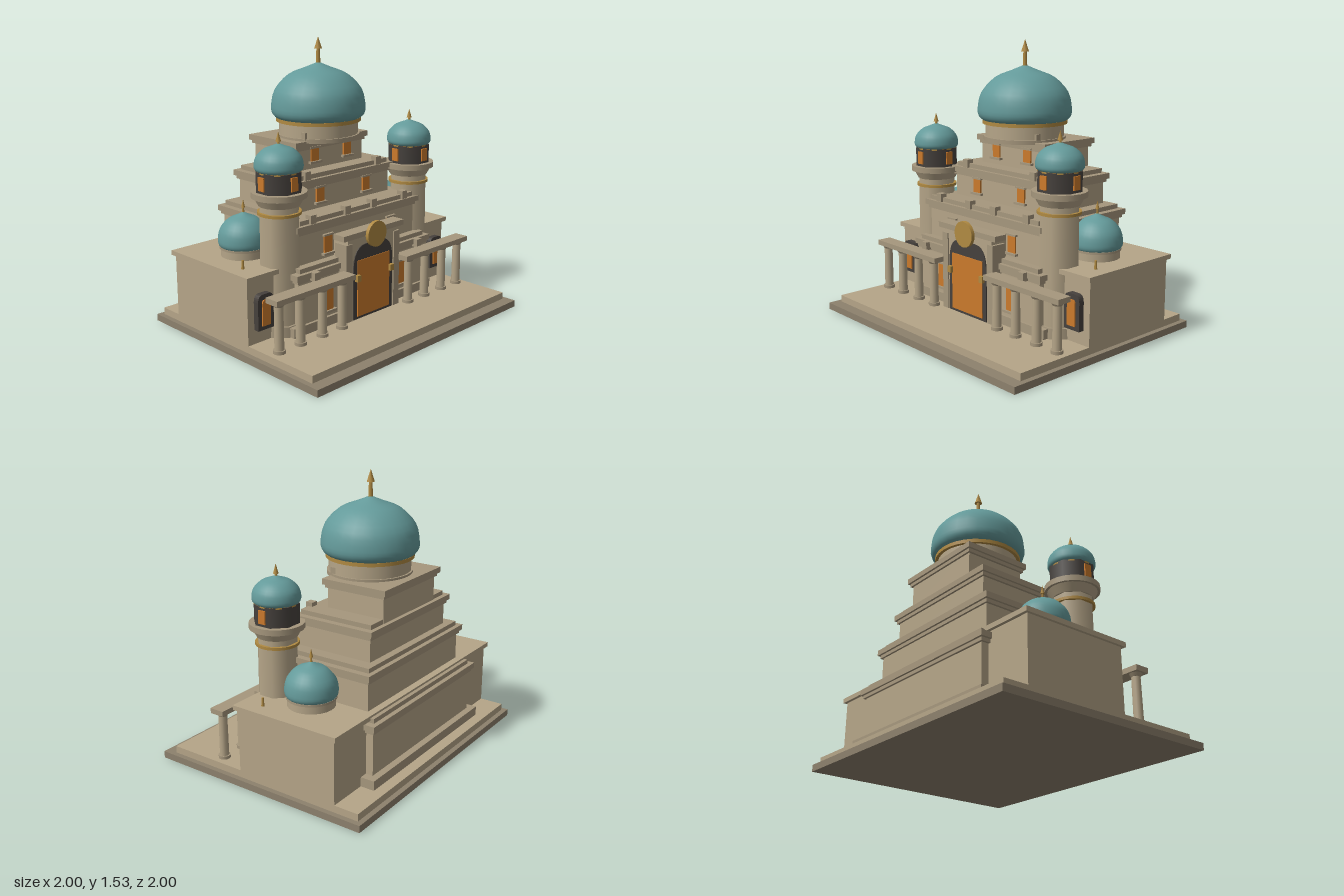
import * as THREE from 'three';

const mat = (name, color) => {
  const m = new THREE.MeshStandardMaterial({ color });
  m.name = name;
  return m;
};

export function createModel() {
  const stone = mat('sandstone', 0xb5a588);
  const trim = mat('trim stone', 0xa6977d);
  const baseStone = mat('base stone', 0x8d816d);
  const teal = mat('teal dome', 0x649a9a);
  const gold = mat('gold', 0xb08a42);
  const orange = mat('orange panel', 0xcb7a2c);
  const dark = mat('dark surround', 0x46413d);

  const model = new THREE.Group();
  model.name = 'domedPalace';
  const hall = new THREE.Group();   // everything is built square, then turned to the diagonal
  hall.name = 'palace';
  hall.rotation.y = Math.PI / 4;
  model.add(hall);

  const add = (name, geo, m, x = 0, y = 0, z = 0, parent = hall) => {
    const mesh = new THREE.Mesh(geo, m);
    mesh.name = name;
    mesh.position.set(x, y, z);
    parent.add(mesh);
    return mesh;
  };
  // box given by its limits
  const box = (name, m, x0, x1, y0, y1, z0, z1, parent) =>
    add(name, new THREE.BoxGeometry(x1 - x0, y1 - y0, z1 - z0), m,
      (x0 + x1) / 2, (y0 + y1) / 2, (z0 + z1) / 2, parent);
  const cyl = (name, m, r0, r1, y0, y1, x, z, n = 24) =>
    add(name, new THREE.CylinderGeometry(r1, r0, y1 - y0, n), m, x, (y0 + y1) / 2, z);

  // onion dome: radius and height scale one shared profile
  const dome = (name, r, y0, h, x, z) => {
    const curve = new THREE.SplineCurve([
      [0.9, 0], [0.97, 0.06], [1, 0.2], [0.92, 0.5], [0.63, 0.77], [0.28, 0.9], [0, 1],
    ].map(([a, b]) => new THREE.Vector2(a * r, b * h)));
    const pts = curve.getPoints(18);
    pts[18].x = 0;
    add(name, new THREE.LatheGeometry([new THREE.Vector2(0, 0), ...pts], 28), teal, x, y0, z);
  };
  const spire = (y0, yMid, y1, r, x, z) => {
    cyl('spirePole', gold, r * 0.6, r * 0.45, y0, yMid, x, z, 8);
    cyl('spireTip', gold, r, 0, yMid, y1, x, z, 8);
  };
  // arched plate standing on its bottom edge
  const arch = (name, m, w, h, depth, x, y, z) => {
    const a = w / 2, s = new THREE.Shape();
    s.moveTo(-a, 0);
    s.lineTo(a, 0);
    s.lineTo(a, h - a * 0.75);
    s.quadraticCurveTo(a * 0.95, h, a * 0.4, h);
    s.lineTo(-a * 0.4, h);
    s.quadraticCurveTo(-a * 0.95, h, -a, h - a * 0.75);
    return add(name, new THREE.ExtrudeGeometry(s, { depth, bevelEnabled: false, curveSegments: 6 }), m, x, y, z);
  };
  // small window with lintel and sill
  const windowAt = (x, y0, y1, z, w = 0.055) => {
    box('windowPane', orange, x - w / 2, x + w / 2, y0, y1, z, z + 0.009);
    box('windowSill', trim, x - w * 0.75, x + w * 0.75, y0 - 0.012, y0, z, z + 0.02);
    box('windowLintel', trim, x - w * 0.65, x + w * 0.65, y1, y1 + 0.01, z, z + 0.015);
  };

  // stepped base
  box('baseLower', baseStone, -0.778, 0.778, 0, 0.037, -0.636, 0.636);
  box('baseUpper', stone, -0.75, 0.75, 0.037, 0.075, -0.608, 0.572);

  // side wings, joined behind the central tiers
  box('wingWalls', stone, -0.75, 0.75, 0.075, 0.41, -0.473, 0.115);
  box('wingRoof', stone, -0.765, 0.765, 0.41, 0.435, -0.49, 0.135);

  // central tiers: slab half width, back, front, wall bottom, slab bottom, slab top
  const tiers = [
    [0.51, -0.535, 0.215, 0.075, 0.37, 0.4],
    [0.465, -0.473, 0.17, 0.4, 0.6, 0.63],
    [0.385, -0.43, 0.045, 0.63, 0.79, 0.82],
    [0.27, -0.43, -0.05, 0.82, 0.97, 1.0],
  ];
  tiers.forEach(([u, b, f, y0, y1, y2], i) => {
    box('tierWalls', stone, -u + 0.025, u - 0.025, y0, y1, b + 0.022, f - 0.02);
    box('tierMoulding', trim, -u + 0.012, u - 0.012, y1 - 0.018, y1, b + 0.011, f - 0.01);
    box('tierSlab', trim, -u, u, y1, y2, b, f);
    if (i < 3) box('tierStep', trim, -u + 0.035, u - 0.035, y2, y2 + 0.024, b + 0.025, f - 0.02);
  });
  box('plinth', trim, -0.53, 0.53, 0.075, 0.125, -0.55, 0.21);

  // windows and parapet posts on the tier fronts
  for (const s of [-1, 1]) {
    windowAt(s * 0.28, 0.16, 0.29, 0.195, 0.065);
    windowAt(s * 0.24, 0.455, 0.545, 0.15);
    windowAt(s * 0.175, 0.69, 0.765, 0.025);
    windowAt(s * 0.122, 0.885, 0.955, -0.07);
    for (const [x, y, z] of [[0.1, 0.63, 0.145], [0.35, 0.63, 0.145], [0.267, 0.82, 0.02], [0.18, 1.0, -0.075]])
      box('parapetPost', trim, s * x - 0.02, s * x + 0.02, y, y + 0.045, z - 0.02, z + 0.02);
  }

  // great dome on its drum
  const cz = -0.162;
  cyl('drum', stone, 0.215, 0.215, 0.99, 1.085, 0, cz, 32);
  cyl('drumFoot', trim, 0.225, 0.225, 0.99, 1.012, 0, cz, 32);
  cyl('drumRing', gold, 0.232, 0.232, 1.08, 1.1, 0, cz, 32);
  dome('greatDome', 0.257, 1.1, 0.295, 0, cz);
  spire(1.38, 1.465, 1.53, 0.021, 0, cz);

  for (const s of [-1, 1]) {
    // tower with balcony, lantern and dome
    const tx = s * 0.491, tz = 0.066;
    const facet = (name, m, r0, r1, y0, y1) => {
      cyl(name, m, r0, r1, y0, y1, tx, tz, 8).rotation.y = Math.PI / 8;
    };
    facet('towerFoot', trim, 0.125, 0.12, 0.075, 0.13);
    facet('towerShaft', stone, 0.108, 0.104, 0.13, 0.75);
    cyl('towerRing', gold, 0.113, 0.113, 0.695, 0.71, tx, tz);
    cyl('balconyFlare', stone, 0.106, 0.13, 0.74, 0.785, tx, tz);
    cyl('balcony', trim, 0.142, 0.142, 0.782, 0.812, tx, tz);
    facet('lantern', dark, 0.12, 0.12, 0.81, 0.915);
    for (const a of [-Math.PI / 2, 0, Math.PI / 2]) {
      const pane = add('lanternWindow', new THREE.BoxGeometry(0.042, 0.07, 0.009), orange,
        tx + Math.sin(a) * 0.114, 0.862, tz + Math.cos(a) * 0.114);
      pane.rotation.y = a;
    }
    cyl('lanternRing', gold, 0.113, 0.113, 0.908, 0.922, tx, tz);
    dome('towerDome', 0.124, 0.915, 0.137, tx, tz);
    spire(1.04, 1.06, 1.11, 0.014, tx, tz);

    // small dome on the wing roof
    cyl('wingDrum', stone, 0.122, 0.122, 0.435, 0.485, s * 0.528, -0.175);
    cyl('wingDrumRing', trim, 0.128, 0.128, 0.475, 0.487, s * 0.528, -0.175);
    dome('wingDome', 0.135, 0.483, 0.18, s * 0.528, -0.175);
    spire(0.655, 0.685, 0.73, 0.01, s * 0.528, -0.175);
    cyl('roofFinial', gold, 0.008, 0.006, 0.435, 0.48, s * 0.686, 0.007, 8);

    // arched wing window
    arch('wingWindowFrame', dark, 0.1, 0.185, 0.035, s * 0.66, 0.15, 0.112);
    arch('wingWindowPane', orange, 0.052, 0.135, 0.008, s * 0.66, 0.172, 0.146);

    // colonnade
    const outer = s * 0.735, inner = s * 0.2;
    box('colonnadeBeam', trim, Math.min(outer, inner), Math.max(outer, inner), 0.332, 0.36, 0.235, 0.317);
    for (const x of [0.26, 0.4, 0.55, 0.69]) {
      cyl('column', stone, 0.025, 0.023, 0.075, 0.335, s * x, 0.277, 12);
      cyl('columnFoot', trim, 0.032, 0.032, 0.075, 0.092, s * x, 0.277, 12);
      cyl('columnCapital', trim, 0.024, 0.034, 0.315, 0.333, s * x, 0.277, 12);
    }
    box('colonnadePost', trim, s * 0.395 - 0.02, s * 0.395 + 0.02, 0.355, 0.4, 0.19, 0.24);

    // portal piers and door lamps
    box('portalPier', trim, s * 0.183 - 0.022, s * 0.183 + 0.022, 0.075, 0.5, 0.17, 0.256);
    box('doorLamp', gold, s * 0.128 - 0.013, s * 0.128 + 0.013, 0.29, 0.325, 0.255, 0.275);
  }

  // portal with arch, door and medallion
  box('portal', stone, -0.19, 0.19, 0.075, 0.53, 0.1, 0.249);
  box('portalCornice', trim, -0.23, 0.23, 0.525, 0.555, 0.185, 0.262);
  arch('portalArch', dark, 0.3, 0.405, 0.008, 0, 0.075, 0.246);
  box('door', orange, -0.123, 0.123, 0.09, 0.4, 0.25, 0.259);
  const medallion = cyl('medallion', gold, 0.07, 0.07, 0, 0.02, 0, 0.272, 24);
  medallion.position.y = 0.527;
  medallion.rotation.x = Math.PI / 2;

  return model;
}
